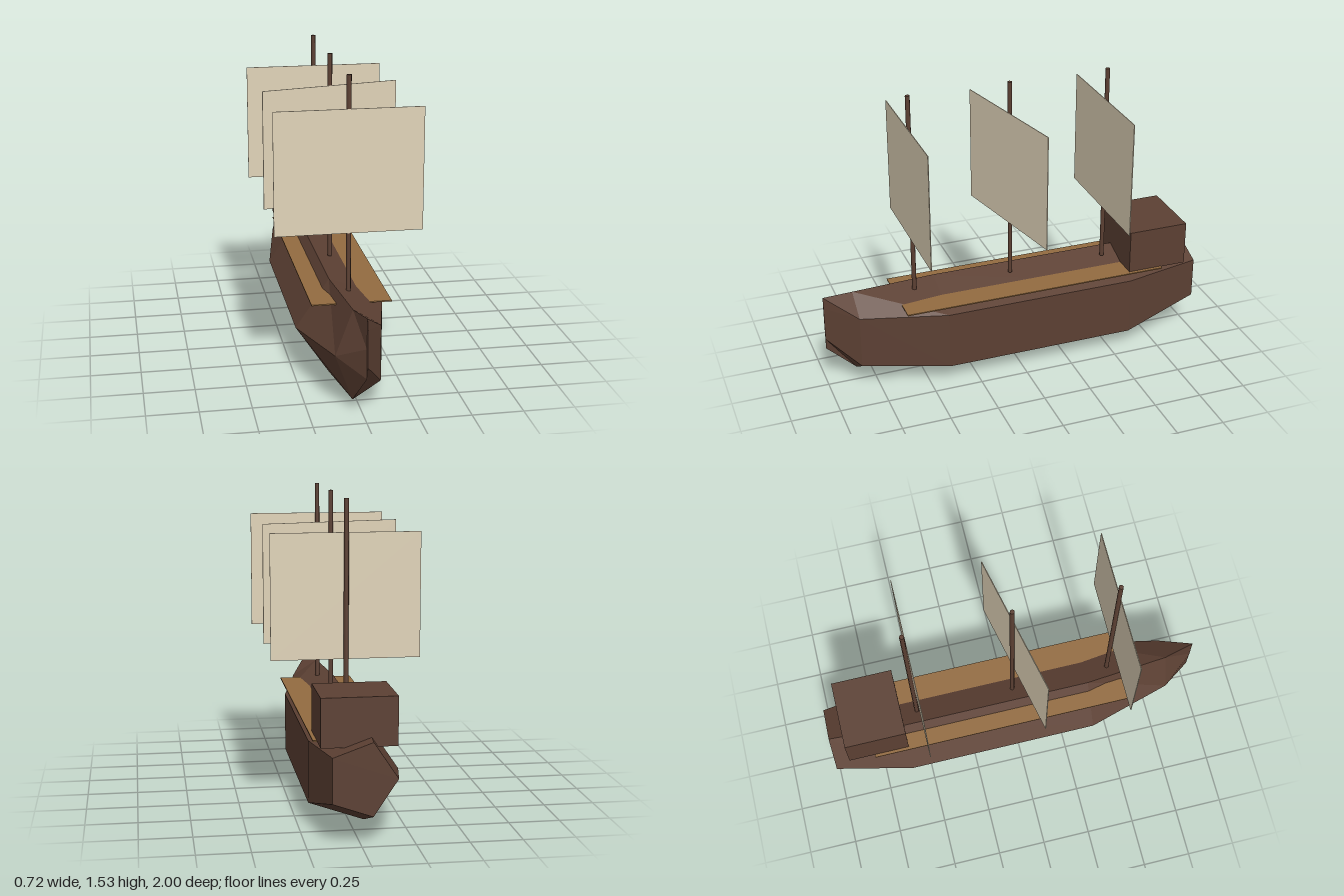
import * as THREE from 'three';

const material = (name, color, extra = {}) => {
  const m = new THREE.MeshStandardMaterial({ color, ...extra });
  m.name = name;
  return m;
};

// Five-sided hull lofted through sections [z, centre height, half width, half height], stern to bow
function hullGeometry() {
  const sections = [
    [-1, 0.318, 0.167, 0.182],
    [-0.6, 0.2525, 0.24, 0.26],
    [0.4, 0.2525, 0.24, 0.26],
    [0.84, 0.28, 0.12, 0.237],
    [1, 0.373, 0.003, 0.156],
  ];
  const sides = 5;
  const rings = sections.map(([z, y, rx, ry]) =>
    Array.from({ length: sides }, (_, k) => {
      const a = Math.PI + (k / sides) * Math.PI * 2;
      return [Math.cos(a) * rx, y + Math.sin(a) * ry, z];
    }));
  const positions = [];
  const face = (...corners) => corners.forEach((p) => positions.push(...p));
  for (let s = 0; s < rings.length - 1; s++) {
    for (let k = 0; k < sides; k++) {
      const n = (k + 1) % sides;
      const a = rings[s][k], b = rings[s][n], c = rings[s + 1][n], d = rings[s + 1][k];
      face(a, b, c);
      face(a, c, d);
    }
  }
  // Stern and bow caps
  const stern = rings[0], bow = rings[rings.length - 1];
  for (let k = 1; k < sides - 1; k++) {
    face(stern[0], stern[k + 1], stern[k]);
    face(bow[0], bow[k], bow[k + 1]);
  }
  const geometry = new THREE.BufferGeometry();
  geometry.setAttribute('position', new THREE.Float32BufferAttribute(positions, 3));
  geometry.computeVertexNormals();
  return geometry;
}

export function createModel() {
  const ship = new THREE.Group();
  ship.name = 'sailingShip';
  const darkWood = material('darkWood', 0x5c4033);
  const deckWood = material('deckWood', 0x936b40);
  const canvas = material('canvas', 0xe0d3b8);

  const add = (name, geometry, mat, x, y, z) => {
    const mesh = new THREE.Mesh(geometry, mat);
    mesh.name = name;
    mesh.position.set(x, y, z);
    ship.add(mesh);
    return mesh;
  };

  add('hull', hullGeometry(), darkWood, 0, 0, 0);
  add('deck', new THREE.BoxGeometry(0.39, 0.006, 1.4), deckWood, 0, 0.449, -0.083);
  add('cabin', new THREE.BoxGeometry(0.356, 0.232, 0.318), darkWood, -0.001, 0.565, -0.759);

  // Three masts, each with a square sail hung just ahead of it; the middle sail is swung round
  const mastGeometry = new THREE.CylinderGeometry(0.012, 0.012, 1.06, 8);
  const sailGeometry = new THREE.BoxGeometry(0.72, 0.605, 0.004);
  const rig = [['fore', 0.524, 0], ['main', 0.004, 0.215], ['rear', -0.516, 0]];
  for (const [name, z, turn] of rig) {
    add(name + 'Mast', mastGeometry, darkWood, 0, 1.01, z);
    add(name + 'Sail', sailGeometry, canvas, 0, 1.077, z + 0.012).rotation.y = turn;
  }
  return ship;
}
